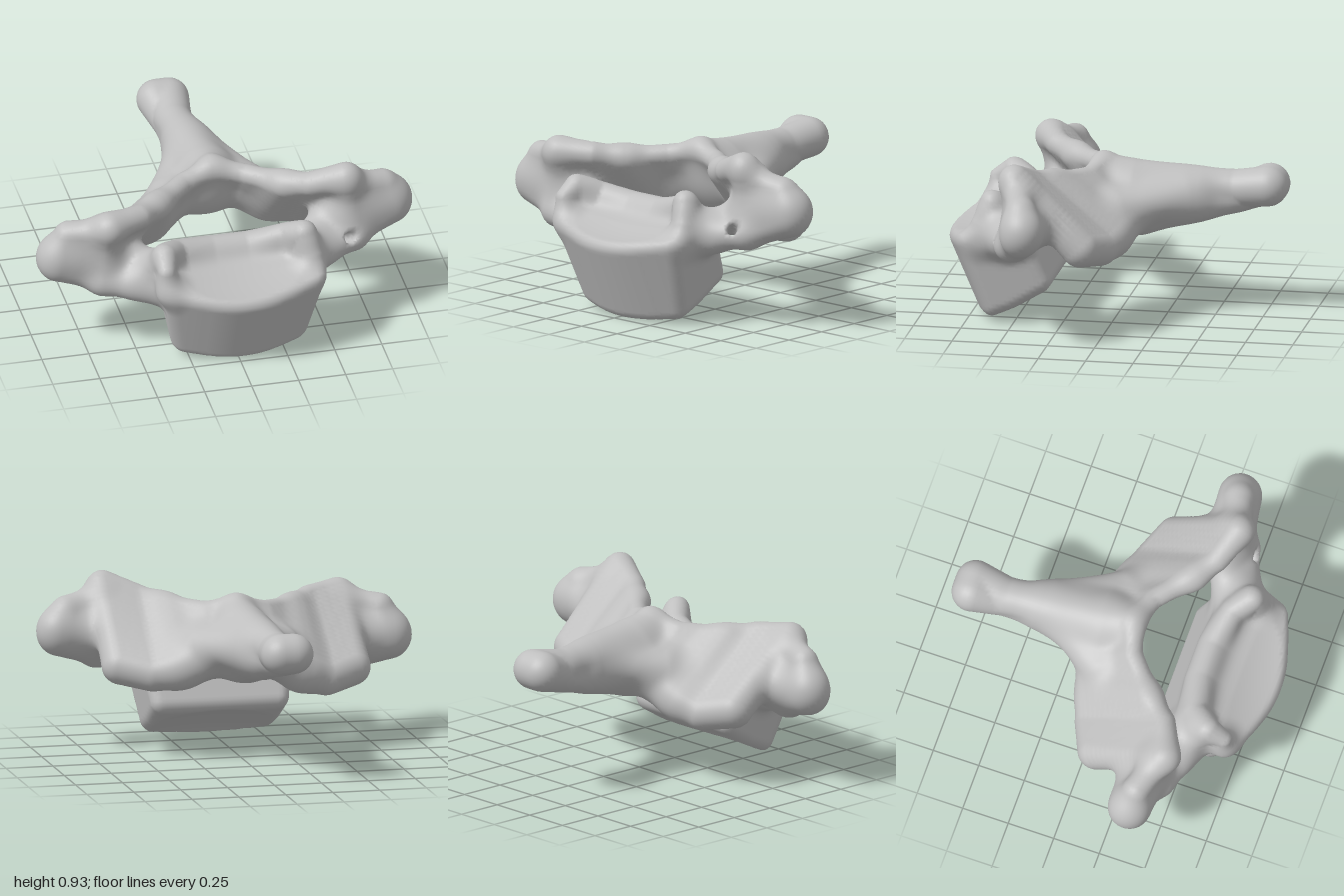
import * as THREE from 'three';

// ---------- soft-form helpers ----------
const clamp = (t, a, b) => Math.min(b, Math.max(a, t));
const smin = (a, b, k) => {
  const h = Math.max(k - Math.abs(a - b), 0) / k;
  return Math.min(a, b) - h * h * k * 0.25;
};

// limb tapering between two points [x, y, z, radius]
function limb(a, b) {
  const dx = b[0] - a[0], dy = b[1] - a[1], dz = b[2] - a[2];
  const len2 = dx * dx + dy * dy + dz * dz;
  return (x, y, z) => {
    const px = x - a[0], py = y - a[1], pz = z - a[2];
    const t = clamp((px * dx + py * dy + pz * dz) / len2, 0, 1);
    const qx = px - dx * t, qy = py - dy * t, qz = pz - dz * t;
    return Math.sqrt(qx * qx + qy * qy + qz * qz) - (a[3] + (b[3] - a[3]) * t);
  };
}

// thick sheet spanning two edge curves with the same number of points
function sheet(edgeA, edgeB, rows = 18) {
  const limbs = [];
  for (let r = 0; r < rows; r++) {
    const t = rows > 1 ? r / (rows - 1) : 0;
    const row = edgeA.map((p, i) => p.map((c, q) => c + (edgeB[i][q] - c) * t));
    for (let i = 1; i < row.length; i++) limbs.push(limb(row[i - 1], row[i]));
  }
  return (x, y, z) => {
    let d = 9;
    for (const f of limbs) d = Math.min(d, f(x, y, z));
    return d;
  };
}
const chain = (points) => sheet(points, points, 1);

// tilted rounded block with a bowed front and dished ends
function bodyBlock(x, y, z) {
  const dx = x - 0.025, dz = z - 0.6, dy = y - 0.32;
  const v = dz * 0.4 + dy * 0.92;
  let w = dz * 0.92 - dy * 0.4;
  const dish = Math.max(0, 1 - (dx / 0.32) ** 2 - (w / 0.2) ** 2);
  const depth = 0.25 + 0.14 * Math.min(w, 0) - 0.03 * dish;
  w += 0.85 * dx * dx * clamp((w + 0.2) / 0.4, 0, 1);
  const r = 0.065;
  const qx = Math.abs(dx) - (0.41 + 0.17 * v) + r;
  const qv = Math.abs(v + 0.03) - depth + r;
  const qw = Math.abs(w - 0.003) - 0.247 + r;
  return Math.hypot(Math.max(qx, 0), Math.max(qv, 0), Math.max(qw, 0)) +
    Math.min(Math.max(qx, qv, qw), 0) - r;
}

// ---------- parts, each a list of soft forms ----------
const parts = {
  vertebralBody: [
    bodyBlock,
    chain([ // raised rim around the sides and back of the upper face
      [-0.37, 0.45, 0.71, 0.07], [-0.385, 0.57, 0.715, 0.055], [-0.375, 0.62, 0.63, 0.07],
      [-0.29, 0.575, 0.53, 0.07], [-0.1, 0.54, 0.485, 0.07], [0.1, 0.54, 0.485, 0.07],
      [0.29, 0.6, 0.53, 0.07], [0.37, 0.65, 0.61, 0.07], [0.4, 0.54, 0.66, 0.055],
      [0.39, 0.45, 0.66, 0.07]]),
  ],
  lamina: [],
  spinousProcess: [
    sheet([[0, 0.71, -0.02, 0.09], [-0.05, 0.665, -0.6, 0.11], [-0.03, 0.69, -0.77, 0.115]],
      [[0, 0.54, -0.12, 0.12], [-0.05, 0.632, -0.6, 0.105], [-0.095, 0.69, -0.77, 0.115]]),
    limb([0, 0.62, -0.08, 0.17], [-0.02, 0.63, -0.4, 0.11]),
  ],
};

for (const [side, s] of [['left', 1], ['right', -1]]) {
  const right = s < 0;
  // mirrors a point; on the right it sits lower by drop and further forward by push
  const P = (x, y, z, r, drop = 0.09, push = 0) =>
    [x * s, right ? y - drop : y, right ? z + push : z, r];

  parts.vertebralBody.push( // shoulder running back from the raised rim
    limb(P(0.38, 0.57, 0.58, 0.07, 0.02), P(0.49, 0.47, 0.5, 0.08, 0.05)));

  parts.lamina.push(
    sheet(
      [P(0, 0.775, 0.085, 0.06, 0), P(0.16, 0.745, 0.135, 0.065, 0.01), P(0.34, 0.755, 0.29, 0.065, 0.04)],
      [P(0, 0.54, -0.09, 0.085, 0), P(0.16, 0.52, -0.07, 0.095, 0.02), P(0.32, 0.48, -0.01, 0.1, 0.045)]),
    limb(P(0.21, 0.59, -0.03, 0.11, 0.02), P(0.05, 0.63, -0.34, 0.09, 0))); // flare into the spine

  parts[side + 'ArticularProcess'] = [sheet(
    [P(0.34, 0.755, 0.29, 0.065, 0.04), P(0.46, 0.79, 0.38, 0.075, 0.055, 0.03),
      P(0.63, 0.85, 0.445, 0.085, 0.11, 0.04)],
    [P(0.32, 0.48, -0.01, 0.1, 0.045), P(0.46, 0.455, 0.025, 0.105, 0.065), P(0.615, 0.49, 0.1, 0.11, 0.065)])];

  parts[side + 'Pedicle'] = [
    limb(P(0.38, 0.46, 0.48, 0.08, 0.03), P(0.56, 0.58, 0.38, 0.1, 0.055)),
    limb(P(0.4, 0.46, 0.55, 0.085), P(0.66, 0.5, 0.47, 0.075))];

  parts[side + 'TransverseProcess'] = [
    sheet([P(0.65, 0.785, 0.43, 0.075, 0.08, 0.03), P(0.835, 0.745, 0.375, 0.08, 0.07, 0.02)],
      [P(0.67, 0.505, 0.43, 0.085), P(0.88, 0.59, 0.37, 0.09, 0.1, 0.01)]),
    limb(P(0.64, 0.6, 0.36, 0.11), P(0.892, 0.645, 0.355, 0.112, 0.105, 0.02))];
}

const names = Object.keys(parts);
const forms = Object.values(parts).flat();
const foramen = limb([0.44, 0.38, 0.34, 0.028], [0.76, 0.63, 0.66, 0.028]);

// all forms blended together, less the small side opening
function field(x, y, z) {
  let d = 9;
  for (const f of forms) d = smin(d, f(x, y, z), 0.09);
  return -smin(-d - 0.01, foramen(x, y, z), 0.02);
}

function gradient(x, y, z) {
  const e = 0.012;
  return [field(x + e, y, z) - field(x - e, y, z), field(x, y + e, z) - field(x, y - e, z),
    field(x, y, z + e) - field(x, y, z - e)].map(g => g / (2 * e));
}

// index of the part lying closest to a point
function nearestPart(p) {
  let best = 0, dist = 9;
  names.forEach((n, i) => {
    for (const f of parts[n]) {
      const d = f(p[0], p[1], p[2]);
      if (d < dist) { dist = d; best = i; }
    }
  });
  return best;
}

export function createModel() {
  const cell = 0.022, lo = [-1.08, -0.08, -0.96], n = [99, 50, 88];
  const step = [1, n[0], n[0] * n[1]];
  const at = (i, j, k) => [lo[0] + i * cell, lo[1] + j * cell, lo[2] + k * cell];
  const val = new Float32Array(n[0] * n[1] * n[2]);
  for (let k = 0; k < n[2]; k++) for (let j = 0; j < n[1]; j++) for (let i = 0; i < n[0]; i++)
    val[i + j * step[1] + k * step[2]] = field(...at(i, j, k));

  // one surface point per crossed cell, pulled on to the surface
  const points = new Map();
  const pointOf = (c) => {
    if (!points.has(c)) {
      const i = c % n[0], j = Math.floor(c / n[0]) % n[1], k = Math.floor(c / step[2]);
      const p = at(i + 0.5, j + 0.5, k + 0.5);
      for (let r = 0; r < 3; r++) {
        const g = gradient(...p);
        const m = clamp(field(...p) / Math.max(0.3, g[0] ** 2 + g[1] ** 2 + g[2] ** 2), -cell, cell);
        for (let a = 0; a < 3; a++) p[a] -= g[a] * m;
      }
      const g = gradient(...p);
      const l = Math.hypot(...g) || 1;
      points.set(c, { p, normal: g.map(q => q / l) });
    }
    return points.get(c);
  };

  // a quad around every grid edge that crosses the surface, sorted by part
  const skins = names.map(() => ({ pos: [], nor: [] }));
  for (let k = 1; k < n[2] - 1; k++) for (let j = 1; j < n[1] - 1; j++) for (let i = 1; i < n[0] - 1; i++) {
    const c = i + j * step[1] + k * step[2];
    for (let a = 0; a < 3; a++) {
      const inside = val[c] < 0;
      if (inside === val[c + step[a]] < 0) continue;
      const u = step[(a + 1) % 3], v = step[(a + 2) % 3];
      const quad = [c - u - v, c - v, c, c - u].map(pointOf);
      if (!inside) quad.reverse();
      const skin = skins[nearestPart(quad[0].p)];
      for (const q of [0, 1, 2, 0, 2, 3]) {
        skin.pos.push(...quad[q].p);
        skin.nor.push(...quad[q].normal);
      }
    }
  }

  const bone = new THREE.MeshStandardMaterial({ color: 0xbfbfbf });
  bone.name = 'boneGrey';
  const model = new THREE.Group();
  model.name = 'vertebra';
  skins.forEach((skin, i) => {
    const geo = new THREE.BufferGeometry();
    geo.setAttribute('position', new THREE.Float32BufferAttribute(skin.pos, 3));
    geo.setAttribute('normal', new THREE.Float32BufferAttribute(skin.nor, 3));
    const mesh = new THREE.Mesh(geo, bone);
    mesh.name = names[i];
    model.add(mesh);
  });
  return model;
}
